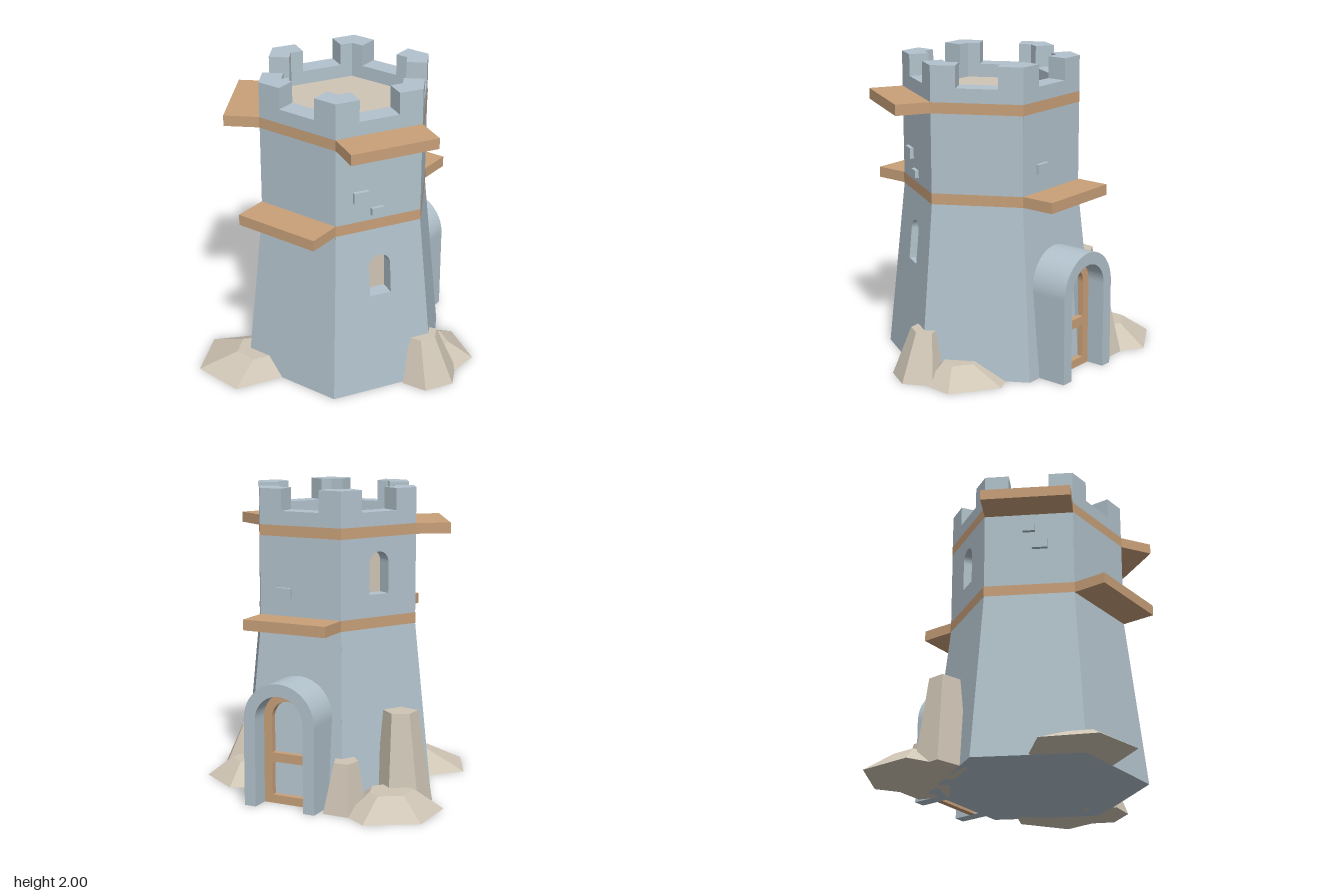
import * as THREE from 'three';

const flat = (name, color) => {
  const m = new THREE.MeshStandardMaterial({ color });
  m.name = name;
  return m;
};

// Rectangle with a half-round head, usable as a shape or a hole
function archPath(half, bottom, spring, Type = THREE.Path) {
  const p = new Type();
  p.moveTo(-half, bottom);
  p.lineTo(half, bottom);
  p.lineTo(half, spring);
  p.absarc(0, spring, half, 0, Math.PI, false);
  p.lineTo(-half, bottom);
  return p;
}

const polygon = (pts) => new THREE.Shape(pts.map(([x, y]) => new THREE.Vector2(x, y)));

export function createModel() {
  const stone = flat('blue grey stone', 0xb2c2cc);
  const wood = flat('wood', 0xc8a079);
  const rock = flat('sand rock', 0xcfc5b5);

  const APO = 0.5, HALF = 0.2885, WALL = 0.13, TAPER_TOP = 1.12, BASE_APO = 0.606;
  const apothem = (y) => y >= TAPER_TOP ? APO : BASE_APO + (APO - BASE_APO) * y / TAPER_TOP;

  const model = new THREE.Group();
  model.name = 'hexagonalTower';
  const tower = new THREE.Group();
  tower.name = 'tower';
  tower.position.set(0.022, 0, 0.125);
  model.add(tower);

  const add = (parent, name, geo, mat, x = 0, y = 0, z = 0) => {
    const mesh = new THREE.Mesh(geo, mat);
    mesh.name = name;
    mesh.position.set(x, y, z);
    parent.add(mesh);
    return mesh;
  };

  // Thick wall panel, leaning inward with the taper of the tower
  function wallGeometry(shape) {
    const g = new THREE.ExtrudeGeometry(shape, { depth: WALL, bevelEnabled: false, curveSegments: 10 });
    const p = g.attributes.position;
    for (let i = 0; i < p.count; i++) p.setZ(i, p.getZ(i) - WALL + apothem(p.getY(i)));
    g.computeVertexNormals();
    return g;
  }

  // Six sides: each group has +z pointing out of its wall
  const sides = [];
  for (let i = 0; i < 6; i++) {
    const side = new THREE.Group();
    side.name = 'side' + (i + 1);
    side.rotation.y = Math.PI / 6 + i * Math.PI / 3;
    tower.add(side);
    sides.push(side);

    const lowHalf = BASE_APO / Math.sqrt(3);
    const lower = polygon([[-lowHalf, 0], [lowHalf, 0], [HALF, TAPER_TOP], [-HALF, TAPER_TOP]]);
    const n = 0.132;
    const upper = polygon([[-HALF, TAPER_TOP], [HALF, TAPER_TOP], [HALF, 2], [n, 2],
      [n, 1.86], [-n, 1.86], [-n, 2], [-HALF, 2]]);

    // Arched windows: one low on the front, one high on the back
    const openWindow = (shape, bottom) => {
      shape.holes.push(archPath(0.0725, bottom, bottom + 0.2));
      add(side, 'windowPane', new THREE.BoxGeometry(0.17, 0.3, 0.008), rock,
        0, bottom + 0.135, apothem(bottom + 0.13) - 0.095);
    };
    if (i === 0) openWindow(lower, 0.665);
    if (i === 3) openWindow(upper, 1.335);
    add(side, 'lowerWall', wallGeometry(lower), stone);
    add(side, 'battlementWall', wallGeometry(upper), stone);
  }
  const [frontLeft, , backLeft, backRight, rightSide, frontRight] = sides;

  // Timber bands around the tower
  for (const y of [1.155, 1.735]) {
    const g = new THREE.CylinderGeometry(0.58, 0.58, 0.07, 6, 1, true).toNonIndexed();
    g.computeVertexNormals();
    add(tower, 'timberBand', g, wood, 0, y, 0);
  }

  // Roof floor and foundation
  const slab = (R, h) => {
    const g = new THREE.CylinderGeometry(R, R, h, 6).toNonIndexed();
    g.computeVertexNormals();
    return g;
  };
  add(tower, 'roofFloor', slab(0.45, 0.03), rock, 0, 1.757, 0);
  add(tower, 'foundation', slab(0.69, 0.02), stone, 0, 0.01, 0);

  // Timber ledges
  for (const [side, y] of [[frontLeft, 1.735], [rightSide, 1.735], [frontRight, 1.155], [backLeft, 1.155]]) {
    add(side, 'timberLedge', new THREE.BoxGeometry(HALF * 2, 0.07, 0.245), wood, 0, y, APO + 0.1025);
  }

  // Raised bricks: side, across, height, width, tall
  for (const [side, u, y, w, h] of [
    [frontLeft, -0.125, 1.365, 0.1, 0.07], [frontLeft, -0.015, 1.25, 0.08, 0.048],
    [backLeft, -0.11, 1.34, 0.1, 0.065],
    [rightSide, 0.07, 1.477, 0.1, 0.065], [rightSide, 0.0, 1.595, 0.08, 0.05],
  ]) {
    add(side, 'raisedBrick', new THREE.BoxGeometry(w, h, 0.05), stone, u, y, APO);
  }

  // Porch arch, open at the bottom
  const porch = new THREE.Shape();
  porch.moveTo(0.25, 0);
  porch.lineTo(0.25, 0.565);
  porch.absarc(0, 0.565, 0.25, 0, Math.PI, false);
  porch.lineTo(-0.25, 0);
  porch.lineTo(-0.17, 0);
  porch.lineTo(-0.17, 0.565);
  porch.absarc(0, 0.565, 0.17, Math.PI, 0, true);
  porch.lineTo(0.17, 0);
  add(backLeft, 'porchArch', new THREE.ExtrudeGeometry(porch,
    { depth: 0.28, bevelEnabled: false, curveSegments: 20 }), stone, 0, 0, 0.52);

  // Door frame with an arched upper opening and a square lower one
  const door = archPath(0.17, 0, 0.565, THREE.Shape);
  door.holes.push(archPath(0.112, 0.335, 0.565));
  door.holes.push(polygon([[-0.112, 0.055], [0.112, 0.055], [0.112, 0.275], [-0.112, 0.275]]));
  add(backLeft, 'doorFrame', new THREE.ExtrudeGeometry(door,
    { depth: 0.04, bevelEnabled: false, curveSegments: 16 }), wood, 0, 0, 0.64);

  // Faceted rock: outline clockwise from above, shrunk to a flat top
  function boulder(outline, cx, cz, s, h) {
    const n = outline.length;
    const mx = outline.reduce((a, p) => a + p[0], 0) / n;
    const mz = outline.reduce((a, p) => a + p[1], 0) / n;
    const base = outline.map(([x, z]) => [x, 0, z]);
    const top = outline.map(([x, z]) => [cx + (x - mx) * s, h, cz + (z - mz) * s]);
    const v = [];
    for (let i = 0; i < n; i++) {
      const j = (i + 1) % n;
      v.push(...base[j], ...base[i], ...top[i], ...base[j], ...top[i], ...top[j]);
      v.push(cx, h, cz, ...top[j], ...top[i]);
      v.push(mx, 0, mz, ...base[i], ...base[j]);
    }
    const g = new THREE.BufferGeometry();
    g.setAttribute('position', new THREE.Float32BufferAttribute(v, 3));
    g.computeVertexNormals();
    return g;
  }
  const rocks = [
    ['backLowRock', [[-0.44, -0.9], [-0.08, -0.9], [0.02, -0.7], [-0.05, -0.4], [-0.4, -0.28], [-0.62, -0.6]], -0.27, -0.61, 0.45, 0.13],
    ['backTallRock', [[-0.46, -0.58], [-0.27, -0.57], [-0.2, -0.38], [-0.4, -0.26], [-0.57, -0.42]], -0.36, -0.43, 0.6, 0.6],
    ['backMiddleRock', [[0, -0.75], [0.15, -0.66], [0.12, -0.45], [-0.1, -0.42], [-0.13, -0.6]], 0, -0.58, 0.55, 0.32],
    ['leftLowRock', [[0.6, -0.07], [0.74, -0.06], [0.89, 0.25], [0.77, 0.43], [0.55, 0.43], [0.5, 0.1]], 0.64, 0.23, 0.4, 0.12],
    ['leftTallRock', [[0.6, 0.32], [0.78, 0.37], [0.77, 0.57], [0.6, 0.67], [0.45, 0.6], [0.45, 0.4]], 0.56, 0.46, 0.52, 0.305],
    ['rightLowRock', [[-0.87, 0.21], [-0.6, 0.13], [-0.35, 0.3], [-0.32, 0.6], [-0.62, 0.78], [-0.9, 0.57]], -0.53, 0.46, 0.42, 0.12],
  ];
  for (const [name, outline, cx, cz, s, h] of rocks) add(model, name, boulder(outline, cx, cz, s, h), rock);

  return model;
}
